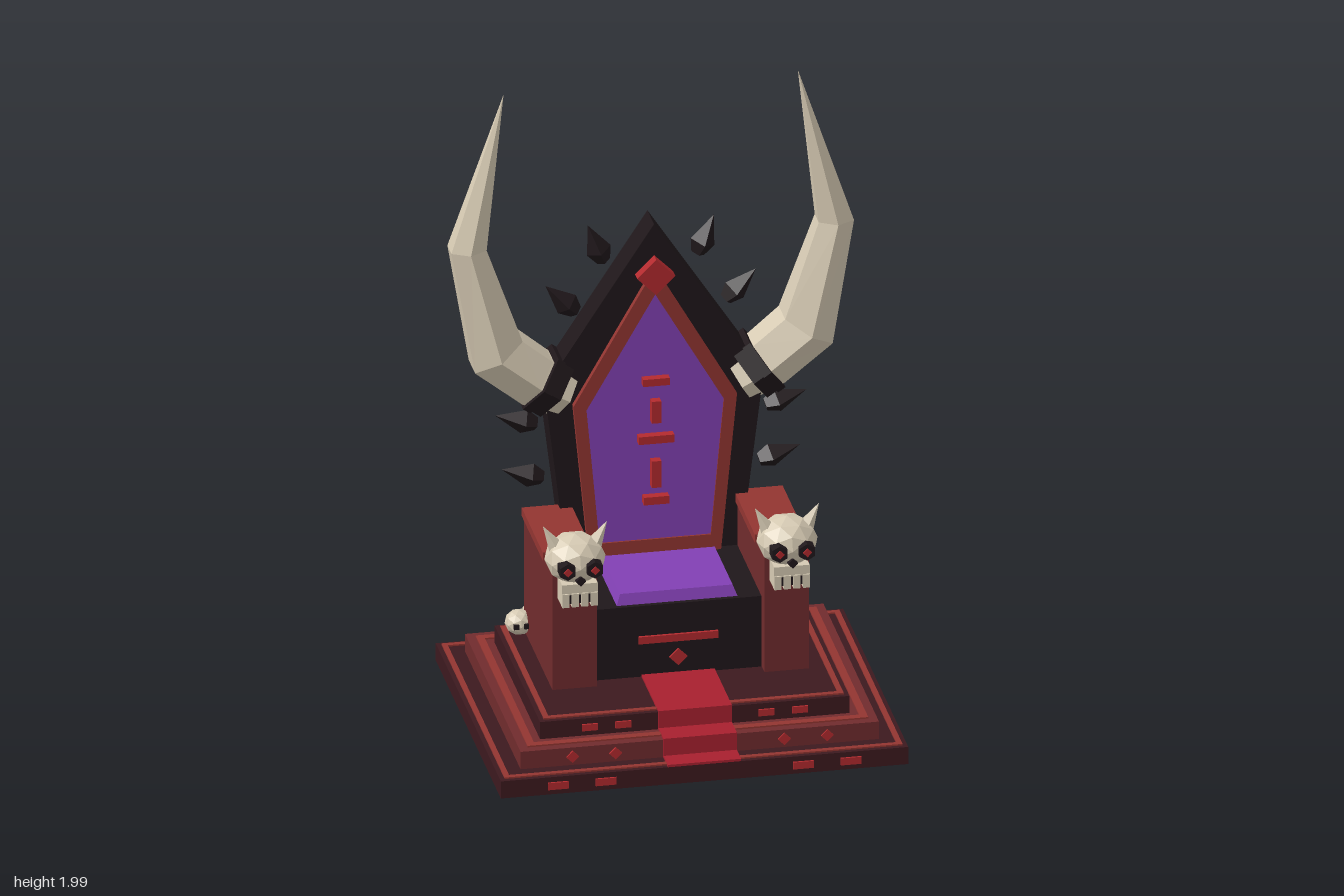
import * as THREE from 'three';

const mat = (color) => new THREE.MeshStandardMaterial({ color, flatShading: true });
const M = {
  dark: mat(0x3c191e), maroon: mat(0x702b2d), trim: mat(0x923531), black: mat(0x1f171a),
  purple: mat(0x8240b4), carpet: mat(0xa8202f), red: mat(0xb32a2e), bone: mat(0xd6cab3),
};
const BACK_Z = -0.335;

export function createModel() {
  const root = new THREE.Group();
  root.name = 'throne';

  const add = (name, geo, material, x = 0, y = 0, z = 0, parent = root) => {
    const m = new THREE.Mesh(geo, material);
    m.name = name;
    m.position.set(x, y, z);
    parent.add(m);
    return m;
  };
  // Box given by its min and max on each axis
  const box = (name, material, x0, x1, y0, y1, z0, z1, parent = root) =>
    add(name, new THREE.BoxGeometry(x1 - x0, y1 - y0, z1 - z0), material,
      (x0 + x1) / 2, (y0 + y1) / 2, (z0 + z1) / 2, parent);
  const diamond = (name, material, x, y, z, half, depth, parent = root) => {
    const m = add(name, new THREE.BoxGeometry(half * Math.SQRT2, half * Math.SQRT2, depth), material, x, y, z, parent);
    m.rotation.z = Math.PI / 4;
    return m;
  };
  // Symmetric pointed panel outline: bottom, shoulder, peak
  const outline = (bx, by, sx, sy, py, Type = THREE.Shape) =>
    new Type([[-bx, by], [bx, by], [sx, sy], [0, py], [-sx, sy]].map((p) => new THREE.Vector2(...p)));
  const extrude = (shape, depth) => new THREE.ExtrudeGeometry(shape, { depth, bevelEnabled: false });
  // Point local +y along a direction in the xy plane
  const aim = (mesh, dx, dy) => { mesh.rotation.z = Math.atan2(-dx, dy); return mesh; };

  // Stepped base with raised trim rings
  const tiers = [
    { w: 0.64, d: 0.512, y0: 0, y1: 0.058, inset: 0.015, t: 0.017, m: M.dark },
    { w: 0.563, d: 0.437, y0: 0.058, y1: 0.117, inset: 0.028, t: 0.024, m: M.maroon },
    { w: 0.486, d: 0.358, y0: 0.117, y1: 0.175, inset: 0.015, t: 0.017, m: M.dark },
  ];
  tiers.forEach(({ w, d, y0, y1, inset, t, m }) => {
    box('baseStep', m, -w, w, y0, y1, -d, d);
    const a = w - inset, b = d - inset, h = y1 + 0.005;
    for (const s of [-1, 1]) {
      const side = s * (a - t / 2), end = s * (b - t / 2);
      box('stepTrim', M.trim, side - t / 2, side + t / 2, y1 - 0.005, h, -b, b);
      box('stepTrim', M.trim, -a + t, a - t, y1 - 0.005, h, end - t / 2, end + t / 2);
    }
  });
  for (const s of [-1, 1]) {
    for (const x of [0.31, 0.46]) add('stepInlay', new THREE.BoxGeometry(0.065, 0.024, 0.012), M.red, s * x, 0.029, 0.512);
    for (const x of [0.265, 0.4]) diamond('stepGem', M.red, s * x, 0.087, 0.437, 0.02, 0.012);
    for (const x of [0.225, 0.33]) add('stepInlay', new THREE.BoxGeometry(0.05, 0.022, 0.012), M.red, s * x, 0.145, 0.358);
  }

  // Carpet folding down over the steps
  const carpet = [[0.09, 0.175], [0.09, 0.182], [0.366, 0.182], [0.366, 0.124], [0.445, 0.124], [0.445, 0.066],
    [0.512, 0.066], [0.512, 0.058], [0.437, 0.058], [0.437, 0.117], [0.358, 0.117], [0.358, 0.175]];
  const carpetGeo = extrude(new THREE.Shape(carpet.map(([z, y]) => new THREE.Vector2(-z, y))), 0.23);
  carpetGeo.translate(0, 0, -0.115).rotateY(Math.PI / 2);
  add('carpet', carpetGeo, M.carpet);

  // Seat block, front ornaments and bevelled cushion
  box('seat', M.black, -0.262, 0.262, 0.175, 0.415, -0.3, 0.095);
  box('seatBar', M.red, -0.125, 0.125, 0.289, 0.313, 0.09, 0.104);
  diamond('seatGem', M.red, 0, 0.235, 0.096, 0.028, 0.014);
  const cushion = new THREE.BoxGeometry(0.38, 0.035, 0.305);
  const cp = cushion.attributes.position;
  for (let i = 0; i < cp.count; i++) {
    if (cp.getY(i) > 0) cp.setXYZ(i, cp.getX(i) * 0.93, cp.getY(i), cp.getZ(i) * 0.92);
  }
  add('cushion', cushion, M.purple, 0, 0.432, -0.072);

  // Backrest: slab, frame with opening, padded panel
  add('backrest', extrude(outline(0.245, 0.175, 0.345, 1.0, 1.53), 0.104), M.black, 0, 0, -0.387);
  const frame = outline(0.207, 0.415, 0.257, 0.94, 1.39);
  frame.holes.push(outline(0.175, 0.468, 0.216, 0.925, 1.3, THREE.Path));
  add('backFrame', extrude(frame, 0.022), M.trim, 0, 0, -0.285);
  add('backPanel', extrude(outline(0.18, 0.46, 0.22, 0.925, 1.31), 0.016), M.purple, 0, 0, -0.285);
  diamond('crestGem', M.red, 0, 1.365, -0.265, 0.06, 0.036);
  for (const [y, w, h] of [[1.01, 0.084, 0.024], [0.908, 0.03, 0.074], [0.815, 0.112, 0.026], [0.697, 0.03, 0.09], [0.608, 0.08, 0.026]])
    add('backOrnament', new THREE.BoxGeometry(w, h, 0.03), M.red, 0, y, -0.257);

  // Spikes around the backrest: stretched four-sided points
  const spikeGeo = new THREE.LatheGeometry(
    [[0, 0], [0.022, 0], [0.04, 0.04], [0, 0.135]].map((p) => new THREE.Vector2(...p)), 4);
  const spikes = [[0.148, 1.395, 0.2, 1.525], [0.235, 1.23, 0.33, 1.325], [0.36, 0.86, 0.49, 0.9], [0.34, 0.675, 0.47, 0.715]];

  // Horn: hexagonal sections swept along a bent path in the xy plane
  const hornPath = [[0.27, 0.965, 0.087], [0.365, 1.02, 0.096], [0.487, 1.12, 0.102], [0.577, 1.478, 0.064], [0.462, 1.99, 0]];
  const hornGeo = (s) => {
    const n = hornPath.length - 1;
    const geo = new THREE.CylinderGeometry(1, 1, 1, 6, n);
    const p = geo.attributes.position;
    const dir = (i) => new THREE.Vector2(s * (hornPath[i + 1][0] - hornPath[i][0]), hornPath[i + 1][1] - hornPath[i][1]).normalize();
    for (let i = 0; i < p.count; i++) {
      const k = Math.round((p.getY(i) + 0.5) * n);
      const [cx, cy, r] = hornPath[k];
      const t = dir(Math.min(k, n - 1)).add(dir(Math.max(k - 1, 0))).normalize();
      const u = p.getX(i) * r;
      p.setXYZ(i, s * cx + t.y * u, cy - t.x * u, p.getZ(i) * r);
    }
    geo.computeVertexNormals();
    return geo;
  };

  // Armrest skull with horns, eyes, nose and teeth
  const skull = (x) => {
    const g = new THREE.Group();
    g.name = 'skull';
    g.position.set(x, 0.622, 0.14);
    root.add(g);
    add('cranium', new THREE.IcosahedronGeometry(0.096, 1), M.bone, 0, 0, 0, g).scale.y = 0.84;
    box('jaw', M.bone, -0.056, 0.056, -0.09, -0.055, 0.005, 0.08, g);
    for (let i = 0; i < 4; i++) {
      const tx = -0.045 + i * 0.03;
      box('tooth', M.bone, tx - 0.011, tx + 0.011, -0.13, -0.085, 0.01, 0.085, g);
    }
    box('mouth', M.black, -0.052, 0.052, -0.122, -0.08, 0.012, 0.074, g);
    diamond('nose', M.black, 0, -0.04, 0.082, 0.016, 0.03, g);
    for (const s of [-1, 1]) {
      const eye = add('eyeSocket', new THREE.CylinderGeometry(0.028, 0.028, 0.045, 6), M.black, s * 0.043, 0, 0.084, g);
      eye.rotation.x = Math.PI / 2;
      diamond('eye', M.red, s * 0.043, 0, 0.108, 0.014, 0.008, g);
      aim(add('skullHorn', new THREE.ConeGeometry(0.027, 0.085, 5), M.bone, s * 0.08, 0.078, 0, g), s * 0.45, 0.8);
    }
  };

  for (const s of [-1, 1]) {
    for (const [bx, by, tx, ty] of spikes)
      aim(add('backSpike', spikeGeo, M.black, s * bx, by, BACK_Z), s * (tx - bx), ty - by);

    add('horn', hornGeo(s), M.bone, 0, 0, BACK_Z);
    aim(add('hornCollar', new THREE.CylinderGeometry(0.106, 0.106, 0.06, 6), M.black, s * 0.328, 1.0, BACK_Z), s * 0.82, 0.57);
    aim(add('hornCollarRing', new THREE.CylinderGeometry(0.113, 0.113, 0.028, 6), M.black, s * 0.345, 1.012, BACK_Z), s * 0.82, 0.57);

    // Armrest with a lighter top pad
    const arm = new THREE.Group();
    arm.name = 'armrest';
    arm.position.x = s * 0.333;
    root.add(arm);
    box('armBody', M.maroon, -0.07, 0.07, 0.175, 0.568, -0.31, 0.137, arm);
    box('armPad', M.trim, -0.077, 0.077, 0.562, 0.59, -0.313, 0.02, arm);
    skull(s * 0.333);

    // Small skulls heaped at the rear foot of the armrest
    for (const [x, z] of [[0.425, -0.28], [0.365, -0.325]]) {
      add('smallSkull', new THREE.IcosahedronGeometry(0.045, 1), M.bone, s * x, 0.218, z).scale.y = 0.9;
      for (const e of [-1, 1])
        add('smallSkullEye', new THREE.BoxGeometry(0.016, 0.016, 0.012), M.black, s * x + e * 0.016, 0.22, z + 0.04);
    }
  }
  return root;
}
